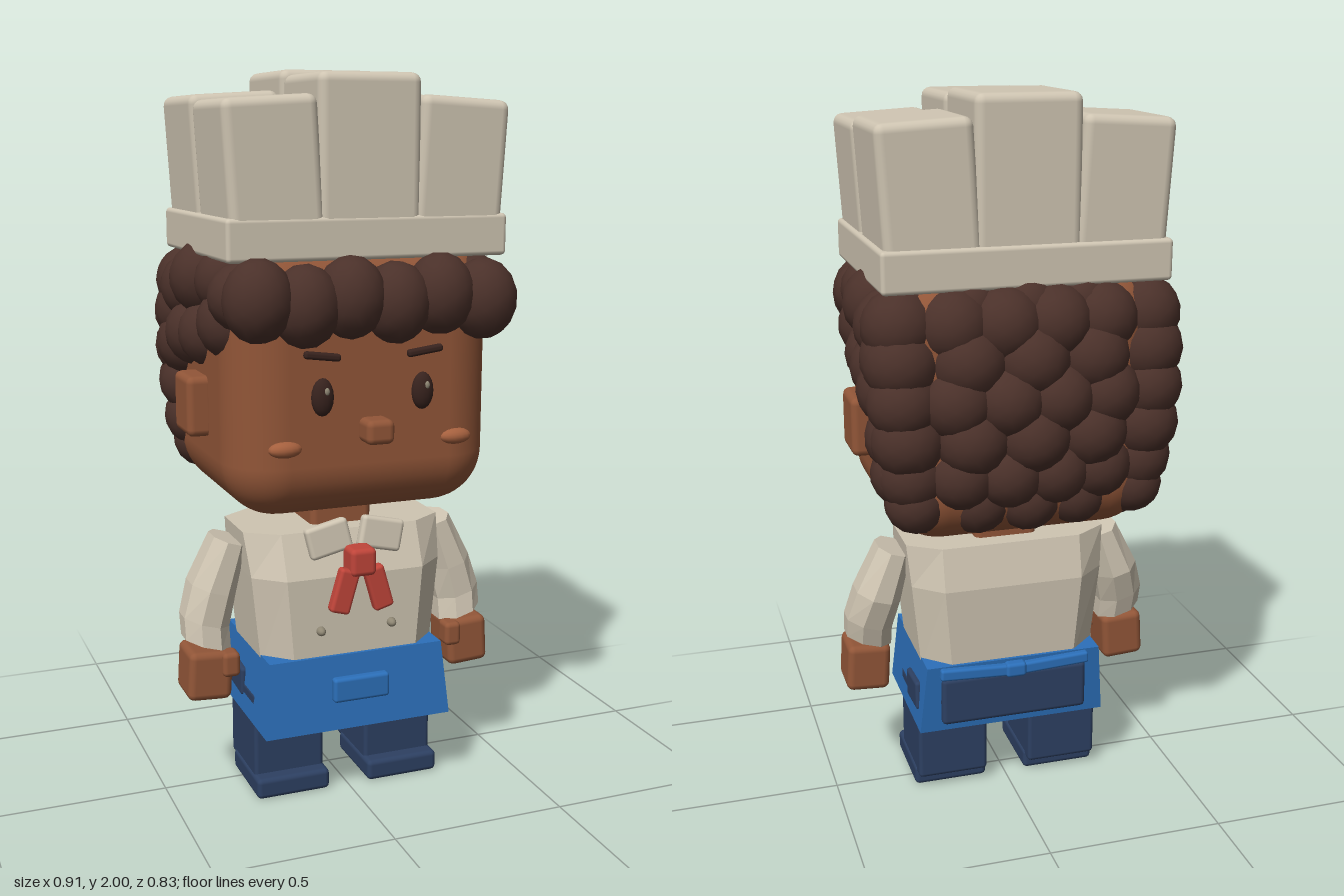
import * as THREE from 'three';
import { RoundedBoxGeometry } from 'three/addons/geometries/RoundedBoxGeometry.js';

const mat = (name, color) => {
  const m = new THREE.MeshStandardMaterial({ color });
  m.name = name;
  return m;
};

// Closed faceted skin through rings of [x, y, z] points, listed bottom to top
function loft(rings) {
  const n = rings[0].length, pos = [];
  const tri = (a, b, c) => pos.push(...a, ...b, ...c);
  const mid = r => [0, 1, 2].map(k => r.reduce((s, p) => s + p[k], 0) / n);
  const low = mid(rings[0]), last = rings[rings.length - 1], high = mid(last);
  for (let i = 0; i < n; i++) {
    const j = (i + 1) % n;
    for (let r = 0; r + 1 < rings.length; r++) {
      const a = rings[r], b = rings[r + 1];
      tri(a[i], b[i], a[j]);
      tri(a[j], b[i], b[j]);
    }
    tri(low, rings[0][i], rings[0][j]);
    tri(high, last[j], last[i]);
  }
  const g = new THREE.BufferGeometry();
  g.setAttribute('position', new THREE.Float32BufferAttribute(pos, 3));
  g.computeVertexNormals();
  return g;
}

// Rectangle ring with cut corners: half width w, front half width f, corner depth c
const octagon = (y, w, f, zf, zb, c) => [
  [w, y, zf - c], [f, y, zf], [-f, y, zf], [-w, y, zf - c],
  [-w, y, zb + c], [-f, y, zb], [f, y, zb], [w, y, zb + c]];
const rect = (y, w, zf, zb) => [[w, y, zf], [-w, y, zf], [-w, y, zb], [w, y, zb]];

export function createModel() {
  const root = new THREE.Group();
  root.name = 'chef';
  const cream = mat('cream cloth', 0xcfc5b2);
  const skin = mat('skin', 0x925638);
  const cheekTone = mat('cheek', 0xa5603e);
  const hairTone = mat('hair', 0x4b312a);
  const dark = mat('dark brown', 0x38231e);
  const blue = mat('apron blue', 0x2c70ba);
  const navy = mat('navy', 0x2d4062);
  const red = mat('scarf red', 0xc0453a);
  const buttonTone = mat('button', 0x8f8774);

  const add = (name, geo, m, p = [0, 0, 0], rot = [0, 0, 0], parent = root) => {
    const mesh = new THREE.Mesh(geo, m);
    mesh.name = name;
    mesh.position.set(...p);
    mesh.rotation.set(...rot);
    parent.add(mesh);
    return mesh;
  };
  // Softened box given by its centre and size
  const box = (name, m, p, s, r = 0.012, rot, seg = 2) =>
    add(name, new RoundedBoxGeometry(...s, seg, r), m, p, rot);
  const ball = (name, m, p, s, parent) => {
    const b = add(name, new THREE.SphereGeometry(1, 14, 10), m, p, [0, 0, 0], parent);
    b.scale.set(...s);
    return b;
  };

  // Hat: band with three by two puffs, side puffs leaning outward
  box('hatBand', cream, [0, 1.575, 0.01], [0.77, 0.11, 0.605], 0.012);
  for (const x of [-1, 0, 1]) {
    for (const front of [0, 1]) {
      const top = (x ? 1.94 : 2) - front * 0.015, h = top - 1.58;
      box('hatPuff', cream, [x * 0.256, top - h / 2, front ? 0.166 : -0.132],
        [x ? 0.25 : 0.28, h, front ? 0.288 : 0.3], 0.025, [0, 0, -x * 0.06]);
    }
  }

  // Head and face
  box('head', skin, [0, 1.2, 0], [0.745, 0.72, 0.65], 0.15, undefined, 6);
  box('neck', skin, [0, 0.82, 0.015], [0.18, 0.15, 0.18], 0.02);
  box('nose', skin, [0, 1.083, 0.35], [0.078, 0.066, 0.08], 0.018);
  for (const s of [-1, 1]) {
    box('ear', skin, [s * 0.392, 1.12, 0.005], [0.075, 0.165, 0.145], 0.02);
    ball('eye', dark, [s * 0.14, 1.175, 0.325], [0.031, 0.05, 0.022]);
    ball('eyeGlint', buttonTone, [s * 0.14 + 0.006, 1.192, 0.344], [0.007, 0.01, 0.005]);
    box('eyebrow', dark, [s * 0.143, 1.282, 0.332], [0.1, 0.02, 0.022], 0.008, [0, 0, s * 0.13]);
    ball('cheek', cheekTone, [s * 0.24, 1.044, 0.32], [0.046, 0.022, 0.025]);
  }

  // Curly hair made of overlapping faceted lumps
  const hair = new THREE.Group();
  hair.name = 'hair';
  root.add(hair);
  const lump = new THREE.IcosahedronGeometry(1, 2);
  let turn = 0;
  const curl = (x, y, z, r, ry = r) => {
    const c = add('curl', lump, hairTone, [x, y, z], [0, turn++ * 0.7, 0], hair);
    c.scale.set(r, ry, r);
  };
  // Fringe
  for (let i = 0; i < 6; i++) {
    curl(-0.31 + i * 0.124, 1.42 + (i % 2 ? -0.01 : 0.008), 0.325, 0.092, 0.108);
  }
  // Back rows: [y, z, count, half span, radius]
  const rows = [
    [0.955, -0.265, 5, 0.27, 0.09], [1.04, -0.3, 6, 0.31, 0.095],
    [1.14, -0.315, 5, 0.32, 0.1], [1.24, -0.315, 6, 0.33, 0.098],
    [1.34, -0.3, 5, 0.33, 0.102], [1.43, -0.28, 6, 0.33, 0.1],
    [1.47, -0.25, 5, 0.3, 0.08]];
  for (const [y, z, n, span, r] of rows) {
    for (let i = 0; i < n; i++) {
      const t = -1 + (2 * i) / (n - 1);
      curl(t * span, y, z + 0.05 * t * t, r);
    }
  }
  // Sides: [z, y, x, radius]
  const side = [
    [0.24, 1.43, 0.325, 0.09], [0.15, 1.355, 0.32, 0.1], [0.12, 1.46, 0.325, 0.09],
    [0.0, 1.31, 0.335, 0.095], [-0.04, 1.455, 0.335, 0.105], [-0.11, 1.3, 0.34, 0.098],
    [-0.16, 1.42, 0.335, 0.1], [-0.2, 1.26, 0.34, 0.1], [-0.23, 1.35, 0.335, 0.1],
    [-0.23, 1.14, 0.335, 0.092], [-0.23, 1.04, 0.325, 0.09], [-0.25, 0.965, 0.3, 0.085]];
  for (const s of [-1, 1]) for (const [z, y, x, r] of side) curl(s * x, y, z, r);

  // Jacket with sloped shoulders
  add('jacket', loft([
    octagon(0.4, 0.255, 0.18, 0.215, -0.15, 0.07),
    octagon(0.65, 0.28, 0.2, 0.215, -0.158, 0.07),
    octagon(0.77, 0.29, 0.2, 0.165, -0.13, 0.06)]), cream);
  for (const s of [-1, 1]) {
    box('collarFlap', cream, [s * 0.077, 0.757, 0.2], [0.125, 0.09, 0.034], 0.012, [-0.1, 0, -s * 0.22]);
    ball('button', buttonTone, [s * 0.105, 0.5, 0.218], [0.013, 0.013, 0.02]);
    box('scarfTail', red, [s * 0.05, 0.62, 0.25], [0.058, 0.125, 0.035], 0.01, [0, 0, s * 0.28]);
  }
  box('scarfKnot', red, [0, 0.7, 0.24], [0.075, 0.078, 0.075], 0.015);

  // Sleeves and hands; ring: [x, y, z, half width, half depth]
  const sleeve = [
    [0.385, 0.45, 0.05, 0.064, 0.068], [0.385, 0.51, 0.035, 0.064, 0.072],
    [0.36, 0.6, 0.02, 0.062, 0.085], [0.31, 0.735, 0.02, 0.046, 0.075]];
  for (const s of [-1, 1]) {
    add('sleeve', loft(sleeve.map(([x, y, z, w, d]) => Array.from({ length: 8 }, (_, i) => {
      const a = ((i + 0.5) / 8) * Math.PI * 2, dx = Math.cos(a) * w * 1.08;
      return [s * x + dx, y + s * dx * 0.3, z + Math.sin(a) * d * 1.08];
    }))), cream);
    box('hand', skin, [s * 0.392, 0.372, 0.06], [0.125, 0.14, 0.14], 0.02, [0, 0, s * 0.06]);
    box('thumb', skin, [s * 0.337, 0.404, 0.115], [0.05, 0.07, 0.06], 0.014);
  }

  // Apron, pockets and the tie at the back
  add('apron', loft([rect(0.215, 0.275, 0.247, -0.14), rect(0.425, 0.256, 0.225, -0.16)]), blue);
  box('frontPocket', blue, [0, 0.336, 0.252], [0.165, 0.07, 0.03], 0.01);
  for (const s of [-1, 1]) {
    box('sidePocket', navy, [s * 0.262, 0.305, -0.035], [0.03, 0.085, 0.125], 0.01, [0.08, 0, 0]);
    box('apronTie', blue, [s * 0.12, 0.4, -0.163], [0.2, 0.034, 0.03], 0.008, [0, 0, s * 0.05]);
  }
  box('apronKnot', blue, [0, 0.397, -0.168], [0.06, 0.042, 0.036], 0.01);
  box('backPanel', navy, [0, 0.315, -0.152], [0.43, 0.145, 0.034], 0.014);

  // Legs and shoes
  for (const s of [-1, 1]) {
    box('leg', navy, [s * 0.167, 0.17, 0.015], [0.206, 0.26, 0.226], 0.012);
    box('shoe', navy, [s * 0.167, 0.03, 0.052], [0.216, 0.06, 0.236], 0.014);
  }
  return root;
}
